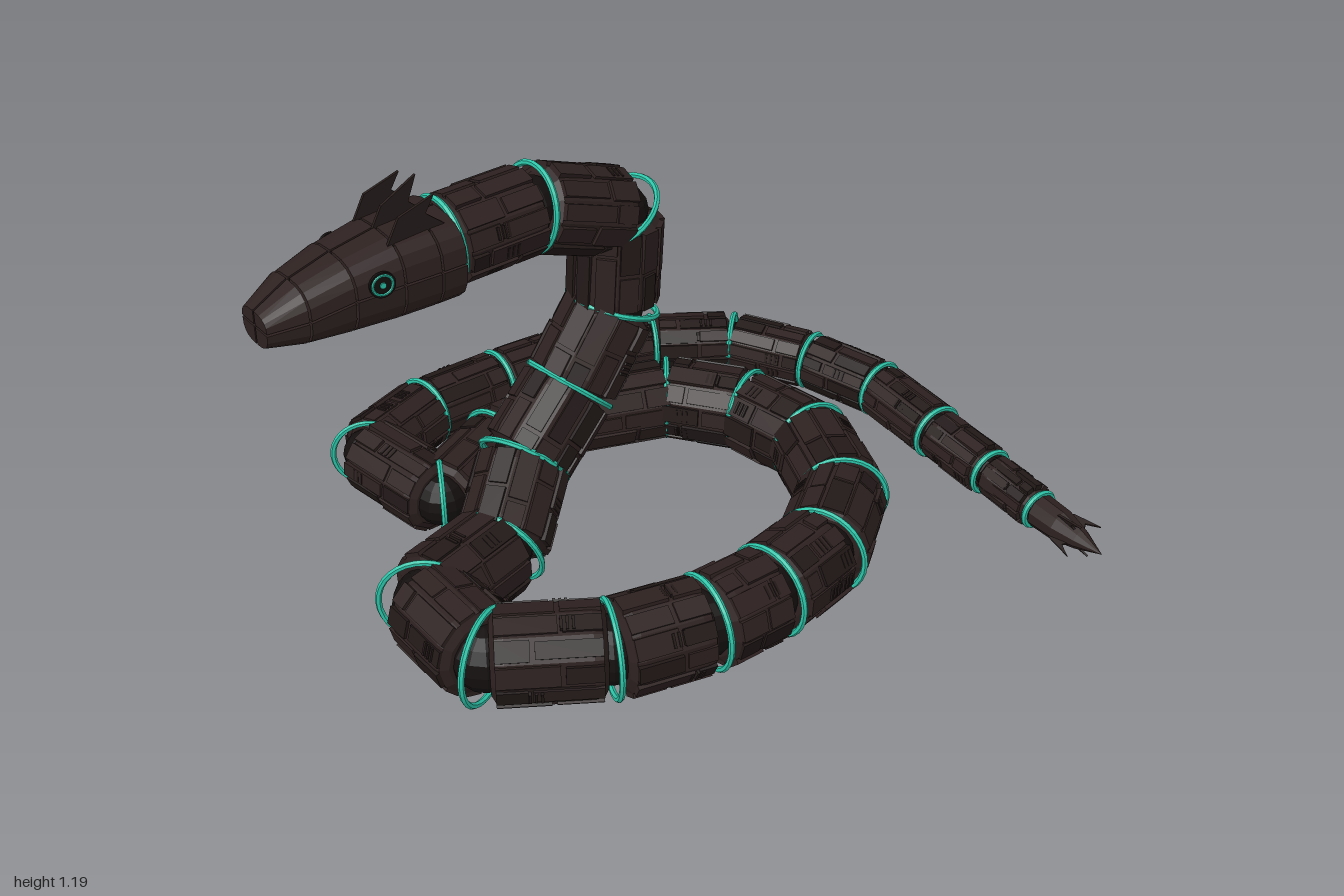
import * as THREE from 'three';
import { ConvexGeometry } from 'three/addons/geometries/ConvexGeometry.js';

const mat = (name, color, extra = {}) => {
  const m = new THREE.MeshStandardMaterial({ color, flatShading: true, ...extra });
  m.name = name;
  return m;
};

// joints of the body from the neck to the tail: x, y, z, radius
const JOINTS = [
  [-0.48, 1.01, -0.245, 0.115], [-0.21, 1.02, -0.245, 0.115], [0.06, 0.925, -0.245, 0.12],
  [0.04, 0.66, -0.24, 0.125], [-0.11, 0.455, -0.235, 0.125], [-0.29, 0.3, -0.2, 0.125],
  [-0.46, 0.165, -0.07, 0.125], [-0.73, 0.155, 0.0, 0.125], [-0.73, 0.155, 0.27, 0.125],
  [-0.47, 0.155, 0.435, 0.125], [-0.22, 0.155, 0.495, 0.125], [-0.01, 0.155, 0.495, 0.125],
  [0.21, 0.155, 0.45, 0.125], [0.42, 0.155, 0.3, 0.122], [0.53, 0.155, 0.04, 0.12],
  [0.495, 0.155, -0.2, 0.118], [0.35, 0.155, -0.4, 0.115], [0.07, 0.155, -0.5, 0.112],
  [-0.2, 0.155, -0.49, 0.11], [-0.455, 0.15, -0.37, 0.105], [-0.505, 0.155, -0.68, 0.1],
  [-0.26, 0.155, -0.77, 0.097], [0.0, 0.155, -0.775, 0.094], [0.27, 0.155, -0.76, 0.09],
  [0.51, 0.15, -0.68, 0.087], [0.72, 0.15, -0.54, 0.084], [0.845, 0.145, -0.31, 0.082],
  [0.905, 0.14, -0.065, 0.08], [0.885, 0.13, 0.2, 0.077], [0.87, 0.12, 0.43, 0.064],
  [0.855, 0.11, 0.63, 0.052],
];

// head stations: x, half width, top, mouth line, bottom
const HEAD = [
  [-1.0, 0.062, 0.99, 0.95, 0.9], [-0.9, 0.1, 1.045, 0.968, 0.888],
  [-0.785, 0.12, 1.08, 0.993, 0.882], [-0.66, 0.135, 1.105, 1.003, 0.88],
  [-0.56, 0.142, 1.113, 1.007, 0.882], [-0.49, 0.145, 1.115, 1.01, 0.885],
];
const HEAD_Z = -0.245;
const UP = new THREE.Vector3(0, 1, 0);

export function createModel() {
  const shell = mat('dark shell', 0x2d2120);
  const panel = mat('shadow panel', 0x221918);
  const core = mat('inner core', 0x140f0f);
  const glow = mat('teal light', 0x2cc4a8);
  const blade = mat('fin metal', 0x261c1b, { side: THREE.DoubleSide });

  const model = new THREE.Group();
  model.name = 'mechanicalSnake';
  const add = (parent, name, geometry, material) => {
    const mesh = new THREE.Mesh(geometry, material);
    mesh.name = name;
    parent.add(mesh);
    return mesh;
  };
  let seed = 7;
  const rand = () => (seed = (seed * 16807) % 2147483647) / 2147483647;

  // armoured body segments, modelled along y and turned to follow the joints
  const points = JOINTS.map(j => new THREE.Vector3(j[0], j[1], j[2]));
  const directions = points.slice(1).map((p, i) => p.clone().sub(points[i]).normalize());
  directions.forEach((dir, i) => {
    const r0 = JOINTS[i][3], r1 = JOINTS[i + 1][3], r = (r0 + r1) / 2;
    const length = points[i].distanceTo(points[i + 1]) - 0.02, h = length / 2;
    const segment = new THREE.Group();
    segment.name = 'bodySegment' + (i + 1);
    segment.position.copy(points[i]).lerp(points[i + 1], 0.5);
    segment.quaternion.setFromUnitVectors(UP, dir);
    model.add(segment);
    const profile = [[0, -h], [0.8 * r0, -h], [0.97 * r0, -h + 0.012], [r0, -h + 0.035],
      [r1, h - 0.035], [0.97 * r1, h - 0.012], [0.8 * r1, h], [0, h]];
    add(segment, 'segmentShell',
      new THREE.LatheGeometry(profile.map(p => new THREE.Vector2(...p)), 12), shell);

    // raised armour plates of varied length on every face
    for (let k = 0; k < 12; k++) {
      const angle = (k + 0.5) * Math.PI / 6, apothem = r * Math.cos(Math.PI / 12);
      const split = (rand() - 0.5) * length * 0.5;
      for (const [a, b] of [[-h + 0.012, split - 0.006], [split + 0.006, h - 0.012]]) {
        const thick = 0.008 + rand() * 0.012;
        const plate = add(segment, 'armourPlate',
          new THREE.BoxGeometry(r * (0.34 + rand() * 0.14), b - a, thick),
          rand() < 0.3 ? panel : shell);
        plate.position.set(Math.sin(angle) * apothem, (a + b) / 2, Math.cos(angle) * apothem);
        plate.rotation.y = angle;
      }
    }
    // small raised ribs
    for (let k = 0; k < 4; k++) {
      const angle = (Math.floor(rand() * 12) + 0.5) * Math.PI / 6;
      const y = (rand() - 0.5) * length * 0.5;
      for (let n = 0; n < 3; n++) {
        const rib = add(segment, 'rib', new THREE.BoxGeometry(r * 0.3, 0.007, 0.012), panel);
        rib.position.set(Math.sin(angle) * r, y + n * 0.015, Math.cos(angle) * r);
        rib.rotation.y = angle;
      }
    }
  });

  // ball joints and glowing rings between segments
  points.forEach((p, i) => {
    const r = JOINTS[i][3];
    const before = directions[Math.max(i - 1, 0)];
    const after = directions[Math.min(i, directions.length - 1)];
    add(model, 'ballJoint', new THREE.SphereGeometry(r * 0.72, 12, 8), core).position.copy(p);
    const ring = add(model, 'lightRing', new THREE.TorusGeometry(r * 1.0, 0.0085, 6, 32), glow);
    ring.position.copy(p);
    ring.quaternion.setFromUnitVectors(new THREE.Vector3(0, 0, 1),
      before.clone().add(after).normalize());
  });

  // head: four shell plates per station, parted by narrow gaps
  const head = new THREE.Group();
  head.name = 'head';
  head.position.z = HEAD_Z;
  model.add(head);
  const gap = 0.003;
  for (let i = 0; i < HEAD.length - 1; i++) {
    for (const vertical of [1, -1]) {
      for (const side of [1, -1]) {
        const corners = [];
        [HEAD[i], HEAD[i + 1]].forEach(([x, w, top, mouth, bottom], end) => {
          const height = vertical > 0 ? top - mouth : mouth - bottom;
          const px = x + (end ? -gap : gap);
          corners.push(new THREE.Vector3(px, mouth + vertical * gap, side * gap));
          for (let k = 0; k <= 5; k++) {
            const t = k * Math.PI / 10;
            const c = Math.pow(Math.max(Math.cos(t), 0), 0.75);
            const s = Math.pow(Math.sin(t), 0.75);
            corners.push(new THREE.Vector3(px, mouth + vertical * (gap + s * (height - gap)),
              side * (gap + c * (w - gap))));
          }
        });
        add(head, vertical > 0 ? 'upperHeadPlate' : 'jawPlate', new ConvexGeometry(corners), shell);
      }
    }
  }

  // eyes and cheek panels
  for (const side of [1, -1]) {
    const eye = new THREE.Group();
    eye.name = side > 0 ? 'leftEye' : 'rightEye';
    eye.position.set(-0.72, 1.022, side * 0.127);
    eye.rotation.y = side > 0 ? -0.12 : Math.PI + 0.12;
    head.add(eye);
    add(eye, 'eyeSocket', new THREE.CylinderGeometry(0.034, 0.034, 0.008, 20)
      .rotateX(Math.PI / 2), core);
    add(eye, 'eyeRing', new THREE.TorusGeometry(0.026, 0.0035, 6, 20), glow).position.z = 0.004;
    add(eye, 'pupil', new THREE.CylinderGeometry(0.008, 0.008, 0.006, 10)
      .rotateX(Math.PI / 2), glow).position.z = 0.005;
  }

  // swept crest blades on the crown
  const blades = [[-0.08, -0.01], [0, 0.012], [0.08, -0.01]];
  blades.forEach(([z, lift]) => {
    const outline = new THREE.Shape([[-0.68, 1.08], [-0.64, 1.155], [-0.54, 1.198 + lift],
      [-0.565, 1.145], [-0.51, 1.1], [-0.52, 1.07]].map(p => new THREE.Vector2(...p)));
    const crest = add(head, 'crestBlade',
      new THREE.ExtrudeGeometry(outline, { depth: 0.008, bevelEnabled: false }), blade);
    crest.position.z = z - 0.004;
  });

  // pointed tail tip with swept fins
  const tail = new THREE.Group();
  tail.name = 'tailTip';
  tail.position.set(0.855, 0.11, 0.63);
  tail.quaternion.setFromUnitVectors(UP, new THREE.Vector3(-0.04, -0.04, 1).normalize());
  model.add(tail);
  add(tail, 'tailSpike', new THREE.LatheGeometry([[0, 0.008], [0.05, 0.008], [0.047, 0.09],
    [0.03, 0.16], [0, 0.24]].map(p => new THREE.Vector2(...p)), 10), shell);
  for (let k = 0; k < 4; k++) {
    const outline = new THREE.Shape([[0.03, 0.06], [0.05, 0.09], [0.064, 0.175],
      [0.045, 0.135], [0.025, 0.15]].map(p => new THREE.Vector2(...p)));
    const fin = add(tail, 'tailFin',
      new THREE.ExtrudeGeometry(outline, { depth: 0.006, bevelEnabled: false })
        .translate(0, 0, -0.003), blade);
    fin.rotation.y = k * Math.PI / 2 + 0.35;
  }
  return model;
}
